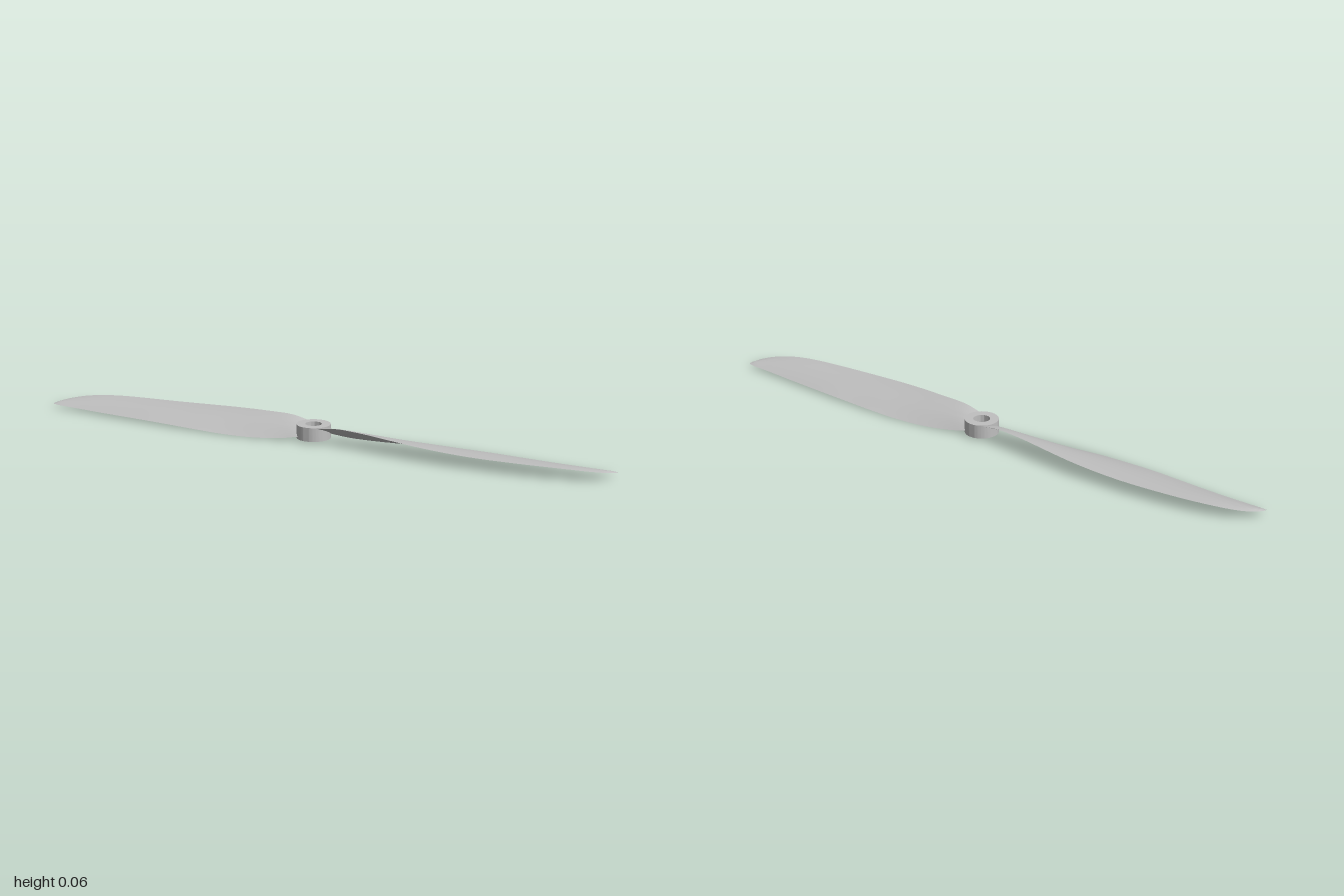
import * as THREE from 'three';
import { toCreasedNormals } from 'three/addons/utils/BufferGeometryUtils.js';

const STATIONS = 48; // cross-sections along the blade
const CHORD = 12;    // steps across the blade

// Edges of the +x blade, root to tip; the front edge is the high one
const curve = (pts) => new THREE.CatmullRomCurve3(pts.map((p) => new THREE.Vector3(...p)));
const frontEdge = curve([
  [0.035, 0.052, 0.042], [0.1, 0.063, 0.05], [0.2, 0.062, 0.06], [0.3, 0.057, 0.074], [0.4, 0.051, 0.085],
  [0.5, 0.046, 0.09], [0.6, 0.043, 0.09], [0.7, 0.042, 0.085], [0.8, 0.041, 0.075], [0.88, 0.038, 0.058],
  [0.94, 0.032, 0.033], [0.98, 0.025, 0], [1, 0.019, -0.035],
]);
const backEdge = curve([
  [0.035, 0.018, -0.042], [0.1, 0.008, -0.054], [0.2, 0.003, -0.071], [0.3, 0.004, -0.081], [0.4, 0.008, -0.085],
  [0.5, 0.011, -0.083], [0.6, 0.013, -0.079], [0.7, 0.013, -0.071], [0.8, 0.013, -0.063], [0.88, 0.014, -0.057],
  [0.94, 0.015, -0.054], [0.98, 0.016, -0.052], [1, 0.017, -0.048],
]);

// Twisted, cambered blade lofted from thin aerofoil sections
function bladeGeometry() {
  const positions = [];
  const index = [];
  const ring = CHORD * 2;
  for (let i = 0; i <= STATIONS; i++) {
    const u = i / STATIONS;
    const f = frontEdge.getPoint(u);
    const b = backEdge.getPoint(u);
    const chord = f.distanceTo(b);
    const normal = new THREE.Vector3(0, f.z - b.z, b.y - f.y).normalize();
    const thickness = Math.min(THREE.MathUtils.lerp(0.011, 0.004, u), chord * 0.1);
    for (let j = 0; j < ring; j++) {
      const upper = j <= CHORD;
      const t = upper ? j / CHORD : 2 - j / CHORD;
      const bow = Math.sin(Math.PI * t);
      const offset = chord * 0.035 * bow + (upper ? 0.5 : -0.5) * thickness * bow;
      const p = f.clone().lerp(b, t).addScaledVector(normal, offset);
      positions.push(p.x, p.y, p.z);
    }
  }
  for (let i = 0; i < STATIONS; i++) {
    for (let j = 0; j < ring; j++) {
      const a = i * ring + j;
      const d = i * ring + ((j + 1) % ring);
      index.push(a, a + ring, d, d, a + ring, d + ring);
    }
  }
  // Close the tip and the root
  const last = STATIONS * ring;
  for (let j = 1; j < ring - 1; j++) {
    index.push(last, last + j + 1, last + j, 0, j, j + 1);
  }
  const geometry = new THREE.BufferGeometry();
  geometry.setAttribute('position', new THREE.Float32BufferAttribute(positions, 3));
  geometry.setIndex(index);
  return toCreasedNormals(geometry, 0.5);
}

// Round hub with the shaft hole
function hubGeometry() {
  const shape = new THREE.Shape().absarc(0, 0, 0.056, 0, Math.PI * 2, false);
  shape.holes.push(new THREE.Path().absarc(0, 0, 0.027, 0, Math.PI * 2, true));
  const geometry = new THREE.ExtrudeGeometry(shape, { depth: 0.046, bevelEnabled: false, curveSegments: 40 });
  geometry.rotateX(-Math.PI / 2).translate(0, 0.01, 0);
  return toCreasedNormals(geometry, 0.5);
}

export function createModel() {
  const model = new THREE.Group();
  model.name = 'propeller';
  const grey = new THREE.MeshStandardMaterial({ color: 0xbfbfbf });
  grey.name = 'light grey';

  const hub = new THREE.Mesh(hubGeometry(), grey);
  hub.name = 'hub';
  model.add(hub);

  // Two blades, half a turn apart
  const geometry = bladeGeometry();
  ['leftBlade', 'rightBlade'].forEach((name, i) => {
    const blade = new THREE.Mesh(geometry, grey);
    blade.name = name;
    blade.rotation.y = i * Math.PI;
    model.add(blade);
  });
  return model;
}
